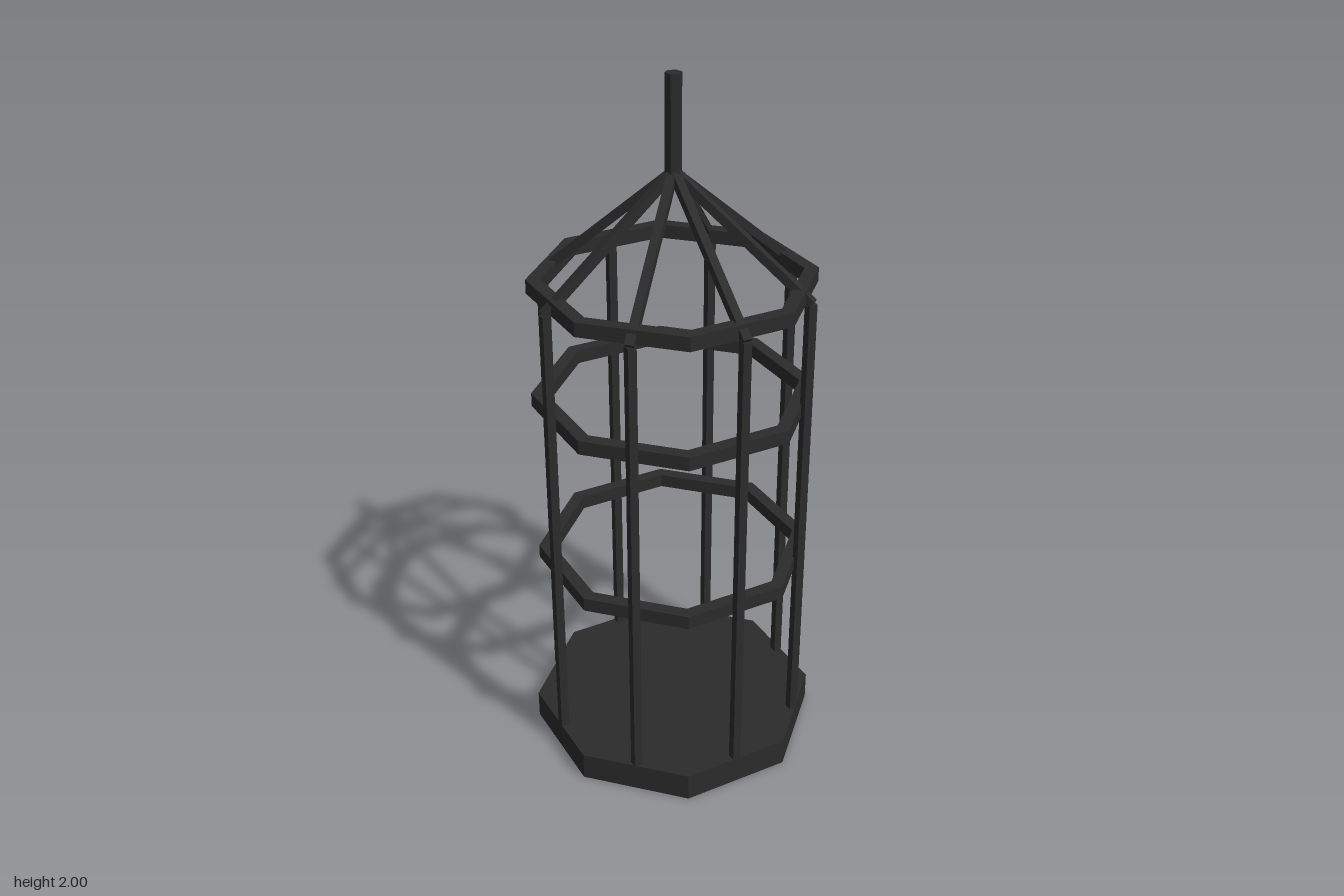
import * as THREE from 'three';

// Double-sided because the base is an open thin shell
const iron = new THREE.MeshStandardMaterial({ color: 0x2b2b2b, side: THREE.DoubleSide });
iron.name = 'dark iron';

function add(parent, name, geometry) {
  const mesh = new THREE.Mesh(geometry, iron);
  mesh.name = name;
  parent.add(mesh);
  return mesh;
}

// Octagon outline with flat sides facing the axes, sized by its apothem
function octagon(PathType, apothem) {
  const r = apothem / Math.cos(Math.PI / 8);
  const points = [];
  for (let i = 0; i < 8; i++) {
    const a = Math.PI / 8 + i * Math.PI / 4;
    points.push(new THREE.Vector2(r * Math.cos(a), r * Math.sin(a)));
  }
  return new PathType(points);
}

// Horizontal octagonal hoop
function hoop(outer, inner, bottom, height) {
  const shape = octagon(THREE.Shape, outer);
  shape.holes.push(octagon(THREE.Path, inner));
  return new THREE.ExtrudeGeometry(shape, { depth: height, bevelEnabled: false })
    .rotateX(-Math.PI / 2)
    .translate(0, bottom, 0);
}

// Faceted upright cylinder
function facetedCylinder(radius, bottom, top, sides, turn, open) {
  const body = new THREE.CylinderGeometry(radius, radius, top - bottom, sides, 1, open).toNonIndexed();
  body.computeVertexNormals();
  return body.rotateY(turn).translate(0, (bottom + top) / 2, 0);
}

export function createModel() {
  const cage = new THREE.Group();
  cage.name = 'hangingCage';

  // Base: floor panel on a thin rim, hollow underneath
  const baseApothem = 0.385, floorY = 0.083;
  add(cage, 'floor', new THREE.ShapeGeometry(octagon(THREE.Shape, baseApothem))
    .rotateX(-Math.PI / 2).translate(0, floorY, 0));
  add(cage, 'baseRim', facetedCylinder(
    baseApothem / Math.cos(Math.PI / 8), 0, floorY, 8, Math.PI / 8, true));

  // Hoops inside the bars
  for (const y of [0.587, 1.085, 1.422]) {
    add(cage, 'hoop', hoop(0.361, 0.325, y, 0.04));
  }

  // Square upright bars, all facing the front
  const barRadius = 0.373, eaves = 1.422, thick = 0.024;
  const upright = new THREE.BoxGeometry(thick, eaves - floorY, thick)
    .translate(0, (eaves + floorY) / 2, 0);
  for (let i = 0; i < 8; i++) {
    const a = i * Math.PI / 4;
    add(cage, 'uprightBar', upright).position.set(barRadius * Math.cos(a), 0, barRadius * Math.sin(a));
  }

  // Square roof bars sloping from the uprights to the apex
  const reach = 0.377, apex = 1.746;
  const roof = new THREE.BoxGeometry(Math.hypot(apex - eaves, reach), thick, thick)
    .rotateZ(-Math.atan2(apex - eaves, reach))
    .translate(reach / 2, (eaves + apex) / 2, 0);
  for (let i = 0; i < 8; i++) {
    add(cage, 'roofBar', roof).rotation.y = i * Math.PI / 4;
  }

  // Hanging rod
  add(cage, 'hangingRod', facetedCylinder(0.0227, 1.74, 2, 6, Math.PI / 12, false));

  return cage;
}
